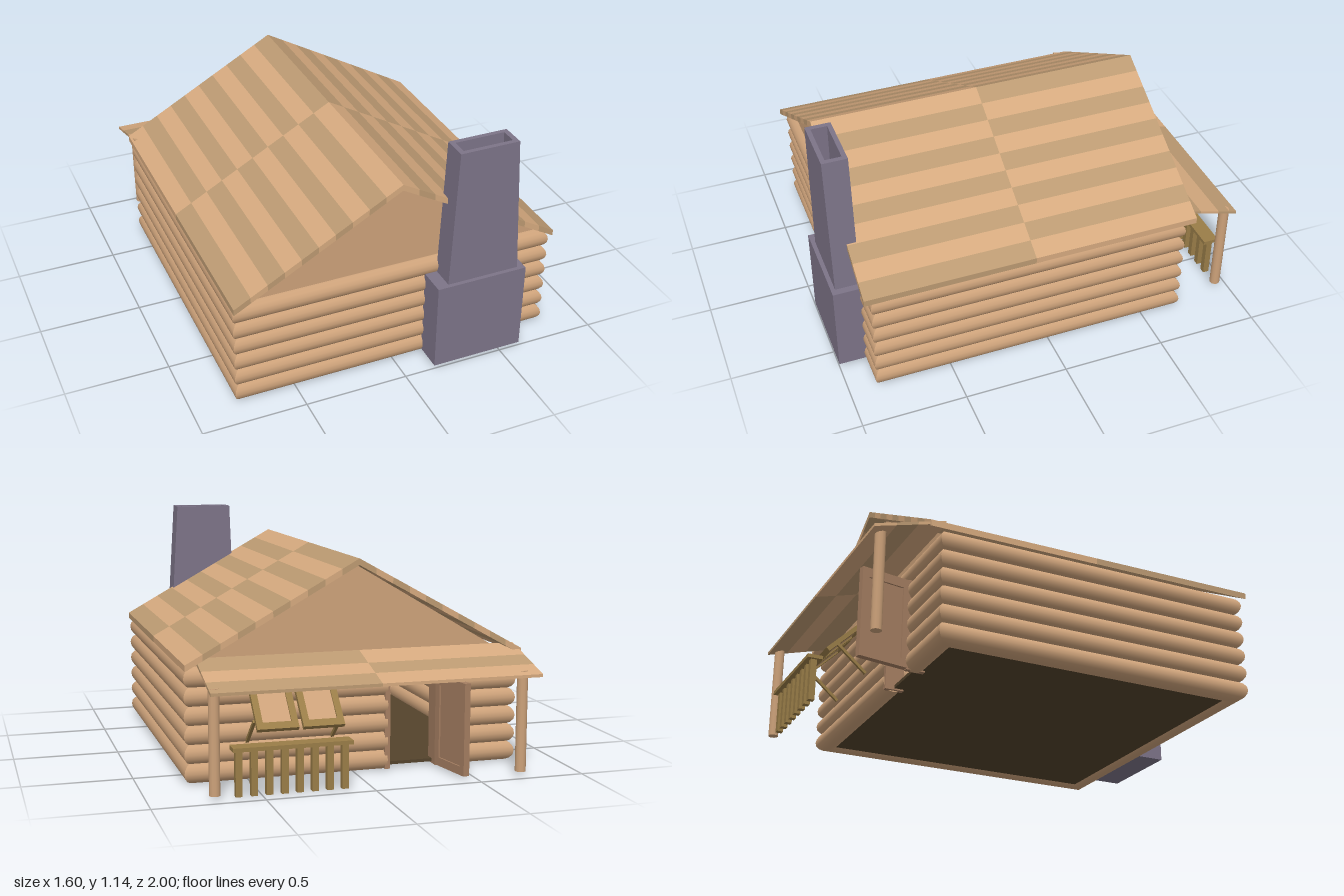
import * as THREE from 'three';

const mat = (color) => new THREE.MeshStandardMaterial({ color, side: THREE.DoubleSide });
const logWood = mat(0xcda27a), boardA = mat(0xd6aa7f), boardB = mat(0xbc9a72);
const doorWood = mat(0xa67f62), oldWood = mat(0x9a7d48), stone = mat(0x7d7488), floorMat = mat(0x54432c);

export function createModel() {
  const root = new THREE.Group();

  const add = (name, geo, material, parent = root) => {
    const m = new THREE.Mesh(geo, material);
    m.name = name;
    parent.add(m);
    return m;
  };
  const group = (name, parent = root) => {
    const g = new THREE.Group();
    g.name = name;
    parent.add(g);
    return g;
  };
  const box = (name, w, h, d, x, y, z, material, parent) => {
    const m = add(name, new THREE.BoxGeometry(w, h, d), material, parent);
    m.position.set(x, y, z);
    return m;
  };
  // Flat outline pushed along z by depth
  const prism = (pts, depth, holes = []) => {
    const s = new THREE.Shape(pts.map(([x, y]) => new THREE.Vector2(x, y)));
    for (const h of holes) s.holes.push(new THREE.Path(h.map(([x, y]) => new THREE.Vector2(x, y))));
    return new THREE.ExtrudeGeometry(s, { depth, bevelEnabled: false });
  };
  const rect = (x0, x1, y0, y1) => [[x0, y0], [x1, y0], [x1, y1], [x0, y1]];

  // Log walls: rows of round logs, mitred where they meet at corners
  const R = 0.05, ROWS = 6, PITCH = 0.087, HX = 0.748, ZF = 0.825, ZB = -0.645;
  const ZM = (ZF + ZB) / 2, HZ = (ZF - ZB) / 2;
  const logGeo = (a, b, mitreA, mitreB) => {
    const g = new THREE.CylinderGeometry(R, R, b - a, 16);
    g.rotateZ(Math.PI / 2);
    const p = g.attributes.position;
    for (let i = 0; i < p.count; i++) {
      const x = p.getX(i), z = p.getZ(i);
      p.setX(i, x + (a + b) / 2 + (x > 0 ? mitreB * z : -mitreA * z));
    }
    return g;
  };
  const wall = (name, angle, x, z, rowParts) => {
    const g = group(name);
    g.position.set(x, 0, z);
    g.rotation.y = angle;
    for (let i = 0; i < ROWS; i++) {
      for (const part of rowParts(i)) {
        add('wallLog', logGeo(...part), logWood, g).position.y = 0.0535 + i * PITCH;
      }
    }
  };
  const DOOR0 = 0.16, DOOR1 = 0.41; // doorway in the back wall, measured towards -x
  wall('frontWall', 0, 0, ZF, () => [[-HX, HX, 1, 1]]);
  wall('leftWall', Math.PI / 2, HX, ZM, () => [[-HZ, HZ, 1, 1]]);
  wall('rightWall', -Math.PI / 2, -HX, ZM, () => [[-HZ, HZ, 1, 1]]);
  wall('backWall', Math.PI, 0, ZB, (i) => i === ROWS - 1
    ? [[-HX, HX, 1, 1]]
    : [[-HX, DOOR0, 1, 0], [DOOR1, HX, 0, 1]]);
  box('floor', 2 * HX, 0.015, 2 * HZ, 0, 0.025, ZM, floorMat);

  // Gable ends
  for (const z of [ZF - 0.01, ZB - 0.01]) {
    const g = prism([[-0.76, 0.525], [0.76, 0.525], [0, 0.975]], 0.02);
    add('gable', g, logWood).position.z = z;
  }

  // Main roof: sloped boards in two lengths of alternating tone
  const roof = group('mainRoof');
  const ROOF_X = 0.8, BOARDS = 10, T = 0.03;
  const roofY = (x) => 1.005 - 0.445 * Math.abs(x) / ROOF_X;
  for (const s of [-1, 1]) {
    for (let i = 0; i < BOARDS; i++) {
      const a = s * ROOF_X * i / BOARDS, b = s * ROOF_X * (i + 1) / BOARDS;
      const pts = [[a, roofY(a)], [b, roofY(b)], [b, roofY(b) - T], [a, roofY(a) - T]];
      [[-0.745, 0.08], [0.08, 0.905]].forEach(([z0, z1], j) => {
        add('roofBoard', prism(pts, z1 - z0), (i + j) % 2 ? boardA : boardB, roof).position.z = z0;
      });
    }
  }

  // Porch roof: shallow boards running across the back
  const porch = group('porch');
  const porchY = (z) => 0.555 + (z + 0.745) * 0.28;
  const zs = [-0.67, -0.8, -0.9, -1.0];
  for (let i = 0; i < 3; i++) {
    const a = zs[i], b = zs[i + 1];
    const pts = [[-a, porchY(a)], [-b, porchY(b)], [-b, porchY(b) - 0.014], [-a, porchY(a) - 0.014]];
    [[-0.79, -0.025], [-0.025, 0.74]].forEach(([x0, x1], j) => {
      const g = prism(pts, x1 - x0);
      g.rotateY(Math.PI / 2);
      add('porchRoofBoard', g, (i + j) % 2 ? boardB : boardA, porch).position.x = x0;
    });
  }
  for (const s of [-1, 1]) {
    const post = add('porchPost', new THREE.CylinderGeometry(0.025, 0.025, 0.47, 12), logWood, porch);
    post.position.set(s * 0.715, 0.26, -0.945);
  }

  // Porch railing
  const railing = group('railing', porch);
  box('topRail', 0.54, 0.018, 0.075, 0.37, 0.225, -0.943, oldWood, railing);
  for (let i = 0; i < 8; i++) {
    box('baluster', 0.03, 0.205, 0.03, 0.13 + i * 0.0686, 0.115, -0.945, oldWood, railing);
  }

  // Pair of top-hinged shutters propped open
  const shutters = group('shutters');
  shutters.position.set(0.31, 0.47, -0.69);
  shutters.rotation.x = Math.PI / 4;
  for (const s of [-1, 1]) {
    const x = s * 0.105;
    const frame = prism(rect(x - 0.095, x + 0.095, -0.27, 0), 0.022,
      [rect(x - 0.065, x + 0.065, -0.235, -0.035)]);
    add('shutterFrame', frame, oldWood, shutters).position.z = -0.011;
    box('shutterPanel', 0.13, 0.2, 0.008, x, -0.135, 0, logWood, shutters);
  }
  for (const x of [0.11, 0.51]) {
    const strut = box('shutterStrut', 0.014, 0.19, 0.014, x, 0.25, -0.76, oldWood);
    strut.rotation.x = -0.86;
  }

  // Doorway jambs and the door standing open
  for (const x of [-DOOR0, -DOOR1]) box('doorJamb', 0.025, 0.44, 0.09, x, 0.23, ZB, doorWood);
  const door = group('door');
  door.position.set(-DOOR1, 0.015, -0.685);
  door.rotation.y = Math.PI / 2 + 0.18;
  add('doorFrame', prism(rect(0, 0.25, 0, 0.43), 0.03, [rect(0.035, 0.215, 0.04, 0.385)]), doorWood, door)
    .position.z = -0.015;
  box('doorPanel', 0.18, 0.345, 0.014, 0.125, 0.2125, 0, doorWood, door);

  // Chimney: square base and a tapering hollow stack
  const chimney = group('chimney');
  box('chimneyBase', 0.455, 0.44, 0.14, 0.3775, 0.24, 0.93, stone, chimney);
  const H = 0.685;
  const stack = prism(rect(-0.18, 0.18, -0.06, 0.06), H, [rect(-0.15, 0.15, -0.038, 0.038)]);
  stack.rotateX(-Math.PI / 2);
  const p = stack.attributes.position;
  for (let i = 0; i < p.count; i++) {
    p.setX(i, p.getX(i) * (1 - 0.19 * p.getY(i) / H) - 0.01 * p.getY(i) / H);
  }
  stack.computeVertexNormals();
  add('chimneyStack', stack, stone, chimney).position.set(0.39, 0.46, 0.92);

  return root;
}
